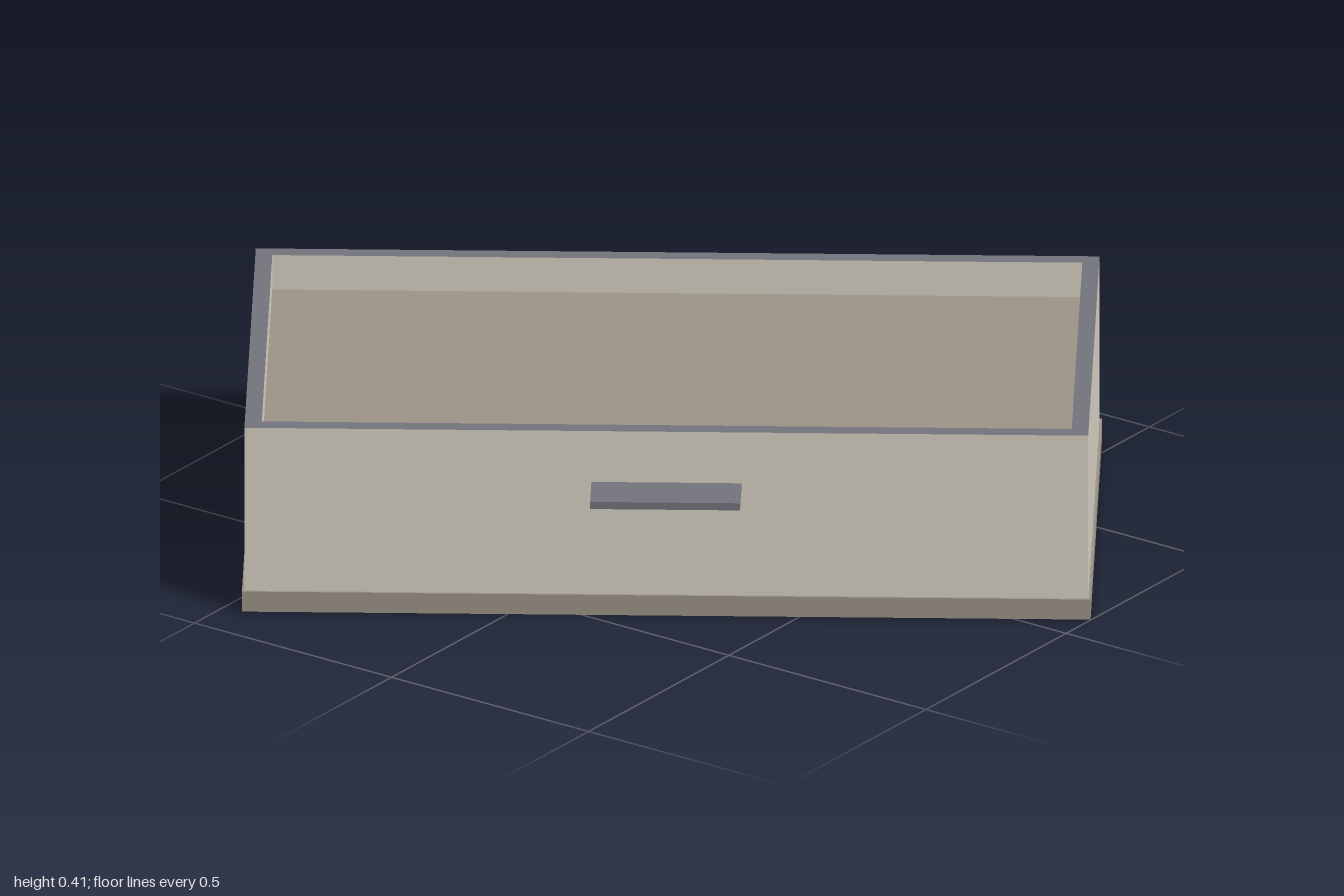
import * as THREE from 'three';

const L = 1.745, W = 0.96, H = 0.41;      // building length, depth, height
const ROOF = 0.333, RIM = 0.035;          // roof level and parapet thickness

const mat = (name, color, side = THREE.FrontSide) => {
  const m = new THREE.MeshStandardMaterial({ color, side });
  m.name = name;
  return m;
};

export function createModel() {
  const cream = mat('cream render', 0xdcd5c7, THREE.DoubleSide);
  const stone = mat('grey stone', 0x9e968a, THREE.DoubleSide);
  const slate = mat('slate trim', 0x75757e, THREE.DoubleSide);
  const glass = mat('blue glass', 0x4f6784);

  const house = new THREE.Group();
  house.name = 'house';

  const add = (name, geometry, material, x, y, z, parent = house) => {
    const mesh = new THREE.Mesh(geometry, material);
    mesh.name = name;
    mesh.position.set(x, y, z);
    parent.add(mesh);
    return mesh;
  };

  // Four upright thin walls around a rectangle
  const wallRing = (name, w, d, y0, y1) => {
    for (let i = 0; i < 4; i++) {
      const a = i * Math.PI / 2;
      const [len, off] = i % 2 ? [d, w / 2] : [w, d / 2];
      const wall = add(name, new THREE.PlaneGeometry(len, y1 - y0), cream,
        Math.sin(a) * off, (y0 + y1) / 2, Math.cos(a) * off);
      wall.rotation.y = a;
    }
  };

  // Flat rectangular frame, as a shape with a hole
  const frame = (w, d, t) => {
    const rect = (P, x, z) => new P([[-x, -z], [x, -z], [x, z], [-x, z]]
      .map(([a, b]) => new THREE.Vector2(a, b)));
    const shape = rect(THREE.Shape, w / 2, d / 2);
    shape.holes.push(rect(THREE.Path, w / 2 - t, d / 2 - t));
    return shape;
  };

  // Shell, parapet and roof
  wallRing('outerWall', L, W, 0, H);
  wallRing('parapetInside', L - 2 * RIM, W - 2 * RIM, ROOF, H);
  add('roof', new THREE.PlaneGeometry(L, W).rotateX(-Math.PI / 2), stone, 0, ROOF, 0);
  add('parapetCap', new THREE.ShapeGeometry(frame(L, W, RIM)).rotateX(-Math.PI / 2),
    slate, 0, H, 0);

  // Plinth band around the foot of the walls
  add('plinth', new THREE.ExtrudeGeometry(frame(L + 0.01, W + 0.01, 0.005),
    { depth: 0.045, bevelEnabled: false }).rotateX(-Math.PI / 2), stone, 0, 0, 0);

  // Canopy on the front wall
  add('canopy', new THREE.BoxGeometry(0.31, 0.016, 0.107), slate, 0, 0.288, W / 2 + 0.0535);

  // Recessed openings standing inside the walls, glazed on the inner face
  const opening = (name, angle, along, off, w, y0, y1) => {
    const pivot = new THREE.Group();
    pivot.name = name;
    pivot.rotation.y = angle;
    house.add(pivot);
    add(name + 'Recess', new THREE.BoxGeometry(w, y1 - y0, 0.02),
      [cream, cream, cream, cream, cream, glass], along, (y0 + y1) / 2, off - 0.011, pivot);
  };
  for (let i = 0; i < 4; i++) {
    const x = (i - 1.5) * L / 4;
    if (i === 1) opening('door', 0, x, W / 2, 0.14, 0.01, 0.28);
    else opening('frontWindow', 0, x, W / 2, 0.085, 0.085, 0.2);
    opening('backWindow', Math.PI, x, W / 2, 0.085, 0.085, 0.2);
  }
  for (const side of [-1, 1]) {
    for (const z of [-0.24, 0.24]) {
      opening('endWindow', side * Math.PI / 2, z, L / 2, 0.085, 0.085, 0.2);
    }
  }

  // The whole building stands turned on its plot
  house.rotation.y = 0.594;
  const model = new THREE.Group();
  model.name = 'building';
  model.add(house);
  return model;
}
